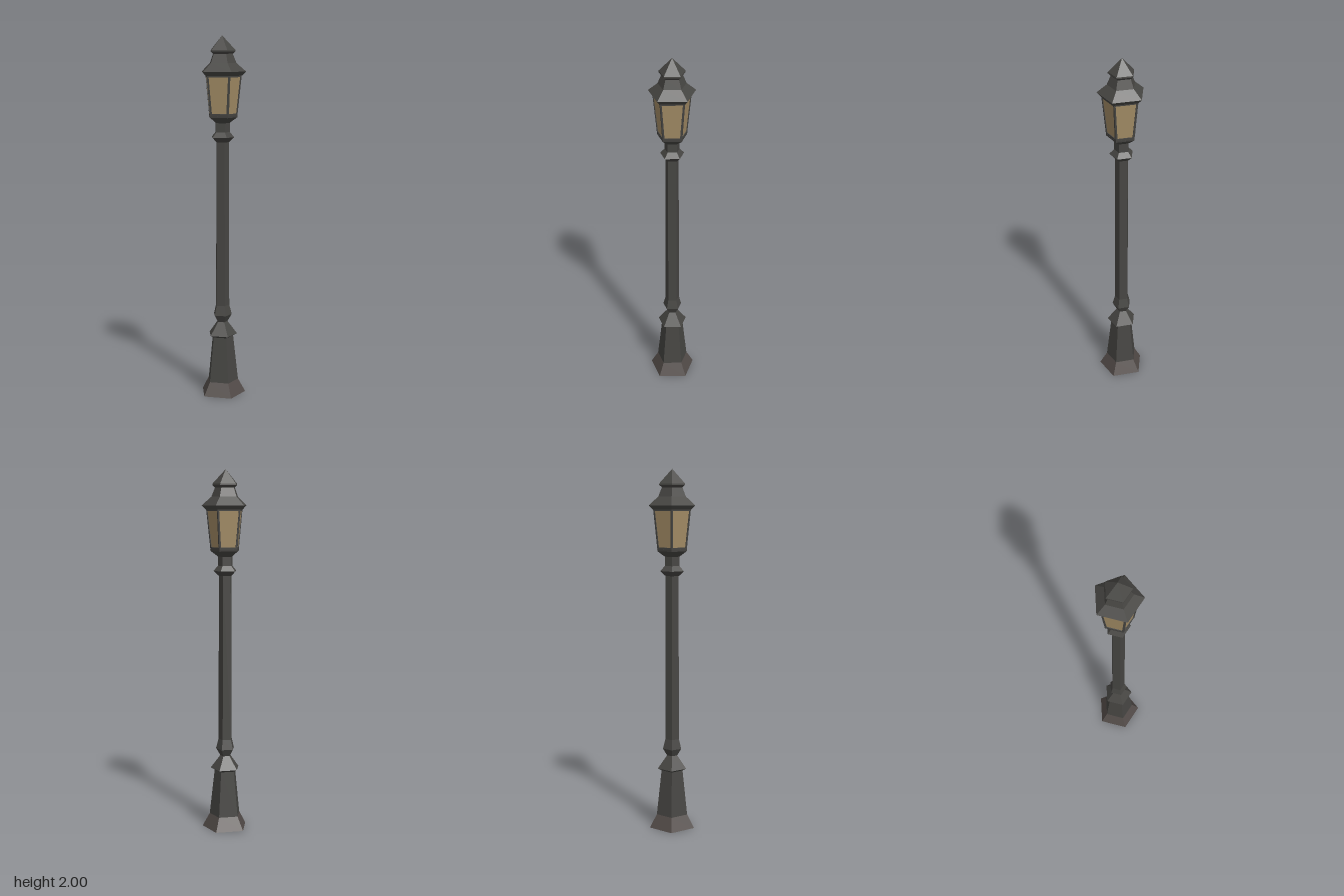
import * as THREE from 'three';

const SIDES = 5;
const iron = new THREE.MeshStandardMaterial({ color: 0x474643, flatShading: true });
const footIron = new THREE.MeshStandardMaterial({ color: 0x524b48, flatShading: true });
const amber = new THREE.MeshStandardMaterial({ color: 0xa48d66, flatShading: true, side: THREE.DoubleSide });

// Five-sided turned part from [radius, height] pairs, listed bottom to top, one corner on +x
function turned(name, profile, material = iron) {
  const points = profile.map(([r, y]) => new THREE.Vector2(r, y));
  const mesh = new THREE.Mesh(new THREE.LatheGeometry(points, SIDES, Math.PI / 2), material);
  mesh.name = name;
  return mesh;
}

// Symmetric trapezoid outline: half widths at two heights
function trapezoid(Type, w0, y0, w1, y1) {
  const t = new Type();
  t.moveTo(-w0, y0);
  t.lineTo(w0, y0);
  t.lineTo(w1, y1);
  t.lineTo(-w1, y1);
  t.closePath();
  return t;
}

// Lantern cage: five leaning frames, each with a recessed pane
function createLantern(r0, y0, r1, y1) {
  const lantern = new THREE.Group();
  lantern.name = 'lantern';
  const half = Math.PI / SIDES;
  const lean = (r1 - r0) * Math.cos(half);
  const length = Math.hypot(y1 - y0, lean);
  const w0 = r0 * Math.sin(half), w1 = r1 * Math.sin(half);
  const bar = 0.009, rail = 0.011;

  const frameShape = trapezoid(THREE.Shape, w0, 0, w1, length);
  frameShape.holes.push(trapezoid(THREE.Path, w0 - bar, rail, w1 - bar, length - rail));
  const frameGeometry = new THREE.ExtrudeGeometry(frameShape, { depth: 0.006, bevelEnabled: false });
  frameGeometry.translate(0, 0, -0.006);
  const paneGeometry = new THREE.ShapeGeometry(
    trapezoid(THREE.Shape, w0 - 0.004, 0.004, w1 - 0.004, length - 0.004));
  paneGeometry.translate(0, 0, -0.004);

  for (let i = 0; i < SIDES; i++) {
    const side = new THREE.Group();
    side.name = 'lanternSide';
    side.rotation.y = Math.PI / 2 + half * (2 * i + 1);
    const leaning = new THREE.Group();
    leaning.name = 'leaningPanel';
    leaning.position.set(0, y0, r0 * Math.cos(half));
    leaning.rotation.x = Math.atan2(lean, y1 - y0);
    const frame = new THREE.Mesh(frameGeometry, iron);
    frame.name = 'windowFrame';
    const pane = new THREE.Mesh(paneGeometry, amber);
    pane.name = 'windowPane';
    leaning.add(frame, pane);
    side.add(leaning);
    lantern.add(side);
  }
  return lantern;
}

export function createModel() {
  const lamp = new THREE.Group();
  lamp.name = 'streetLamp';

  lamp.add(
    turned('foot', [[0, 0], [0.131, 0], [0.09, 0.075]], footIron),
    turned('plinth', [[0.09, 0.075], [0.062, 0.33], [0.084, 0.342], [0.03, 0.415]]),
    turned('poleKnuckle', [[0.03, 0.415], [0.054, 0.455], [0.04, 0.51]]),
    turned('pole', [[0.04, 0.51], [0.037, 1.425]]),
    // Collar ring and flared cup that carries the lantern
    turned('collar', [[0.037, 1.425], [0.043, 1.428], [0.067, 1.452], [0.042, 1.48], [0.042, 1.53]]),
    turned('lanternCup', [[0.042, 1.53], [0.083, 1.56], [0.085, 1.57], [0, 1.57]]),
    createLantern(0.084, 1.57, 0.107, 1.788),
    // Roof with a waisted neck, then a pointed cap
    turned('roof', [[0, 1.785], [0.11, 1.785], [0.131, 1.807], [0.078, 1.853], [0.058, 1.902]]),
    turned('roofCap', [[0.058, 1.902], [0.073, 1.915], [0.072, 1.923], [0, 2]]),
  );

  // Centre the five-sided footprint on x
  lamp.children.forEach((part) => { part.position.x = -0.0125; });
  return lamp;
}
